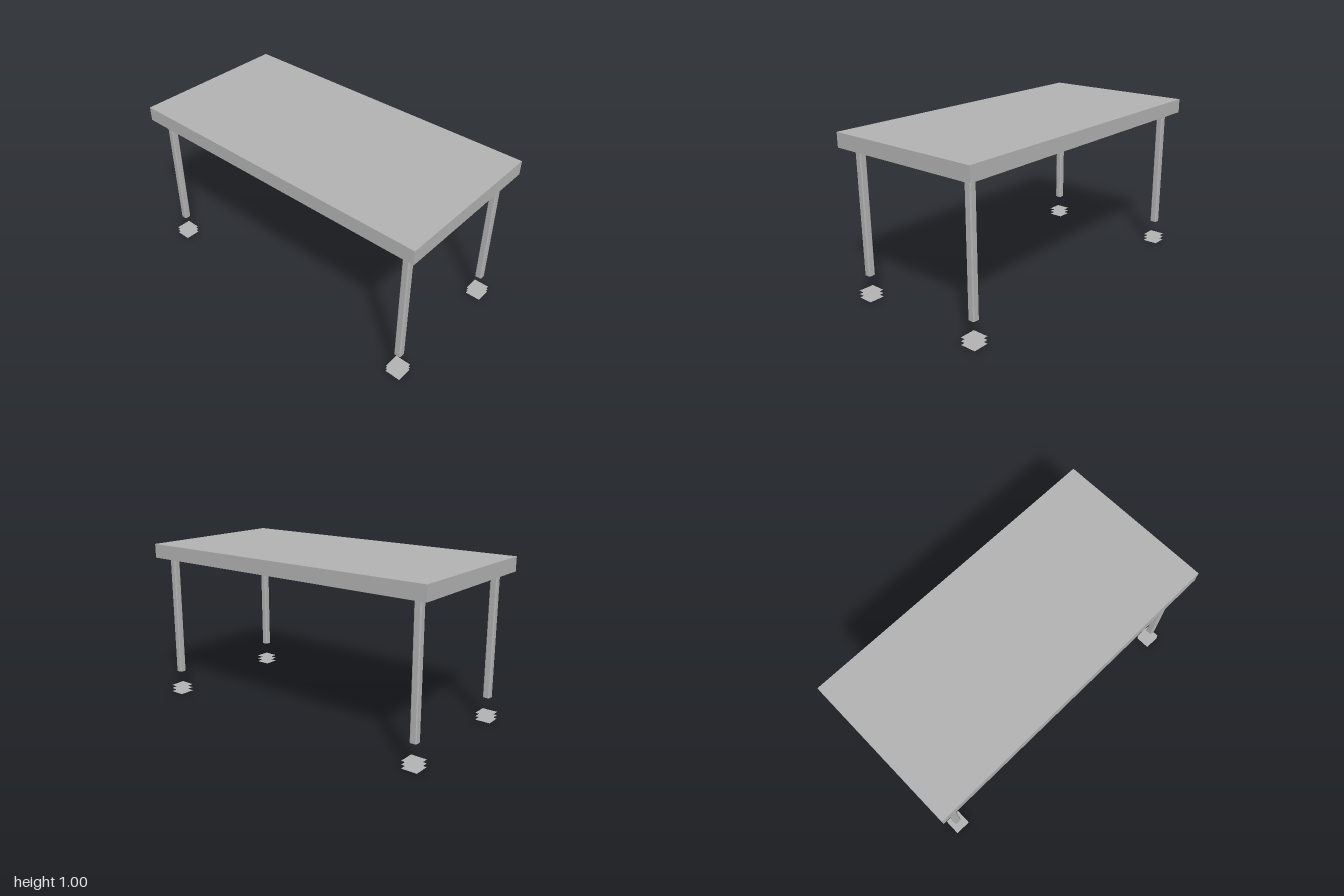
import * as THREE from 'three';

const grey = new THREE.MeshStandardMaterial({ color: 0xb2b2b2, side: THREE.DoubleSide });
grey.name = 'grey metal';

function add(parent, name, geometry, x = 0, y = 0, z = 0) {
  const mesh = new THREE.Mesh(geometry, grey);
  mesh.name = name;
  mesh.position.set(x, y, z);
  parent.add(mesh);
  return mesh;
}

const box = (w, h, d) => new THREE.BoxGeometry(w, h, d);
const sheet = (w, d) => new THREE.PlaneGeometry(w, d).rotateX(-Math.PI / 2);
const polygon = (pts) => new THREE.Shape(pts.map(([x, y]) => new THREE.Vector2(x, y)));
const rect = (w, d) => [[-w, -d], [w, -d], [w, d], [-w, d]];

// Extrude a plan shape upwards
const rise = (shape, depth) =>
  new THREE.ExtrudeGeometry(shape, { depth, bevelEnabled: false }).rotateX(-Math.PI / 2);

// Square leg section with chamfered corners
function legSection(h, c) {
  return polygon([[-h + c, -h], [h - c, -h], [h, -h + c], [h, h - c],
    [h - c, h], [-h + c, h], [-h, h - c], [-h, -h + c]]);
}

export function createModel() {
  const model = new THREE.Group();
  model.name = 'table';
  const W = 1, D = 0.498, under = 0.912, ceiling = 0.96;

  // Top: flat slab over a hollow rim
  add(model, 'tableTop', box(2 * W, 1 - ceiling, 2 * D), 0, (1 + ceiling) / 2, 0);
  const rim = polygon(rect(W, D));
  rim.holes.push(polygon(rect(W - 0.045, D - 0.045)));
  add(model, 'rim', rise(rim, ceiling - under), 0, under, 0);

  // Cross beams inside the rim
  for (const x of [-0.51, 0, 0.51]) {
    add(model, 'crossBeam', box(0.08, 0.044, 2 * D - 0.09), x, 0.938, 0);
  }

  // Cable tray: open channel of thin sheets
  const tray = new THREE.Group();
  tray.name = 'cableTray';
  model.add(tray);
  add(tray, 'trayFloor', sheet(1.275, 0.15), 0, 0.874, 0.216);
  for (const z of [0.141, 0.291]) {
    add(tray, 'traySide', new THREE.PlaneGeometry(1.275, 0.038), 0, 0.893, z);
  }

  // Legs with their corner fittings and floor plates
  for (const sx of [-1, 1]) {
    for (const sz of [-1, 1]) {
      const corner = new THREE.Group();
      corner.name = 'corner';
      model.add(corner);
      const x = sx * 0.914, z = sz * 0.415;
      add(corner, 'leg', rise(legSection(0.0215, 0.006), under - 0.144), x, 0.144, z);
      add(corner, 'legFlange', box(0.056, 0.008, 0.058), x, 0.908, z);

      const gusset = polygon([[sx * 0.99, -sz * 0.49], [sx * 0.75, -sz * 0.49], [sx * 0.99, -sz * 0.25]]);
      add(corner, 'cornerGusset', new THREE.ShapeGeometry(gusset).rotateX(-Math.PI / 2), 0, under + 0.001, 0);
      add(corner, 'mountingPlate', sheet(0.1, 0.1), sx * 0.84, 0.953, sz * 0.34);

      const tab = new THREE.PlaneGeometry(0.065, 0.022).rotateY(Math.PI / 2);
      add(corner, 'bracketTab', tab, x, 0.901, z + 0.022);

      for (const y of [0, 0.022, 0.044]) {
        add(corner, 'floorPlate', sheet(0.097, 0.097), x, y, z);
      }
    }
  }
  return model;
}
